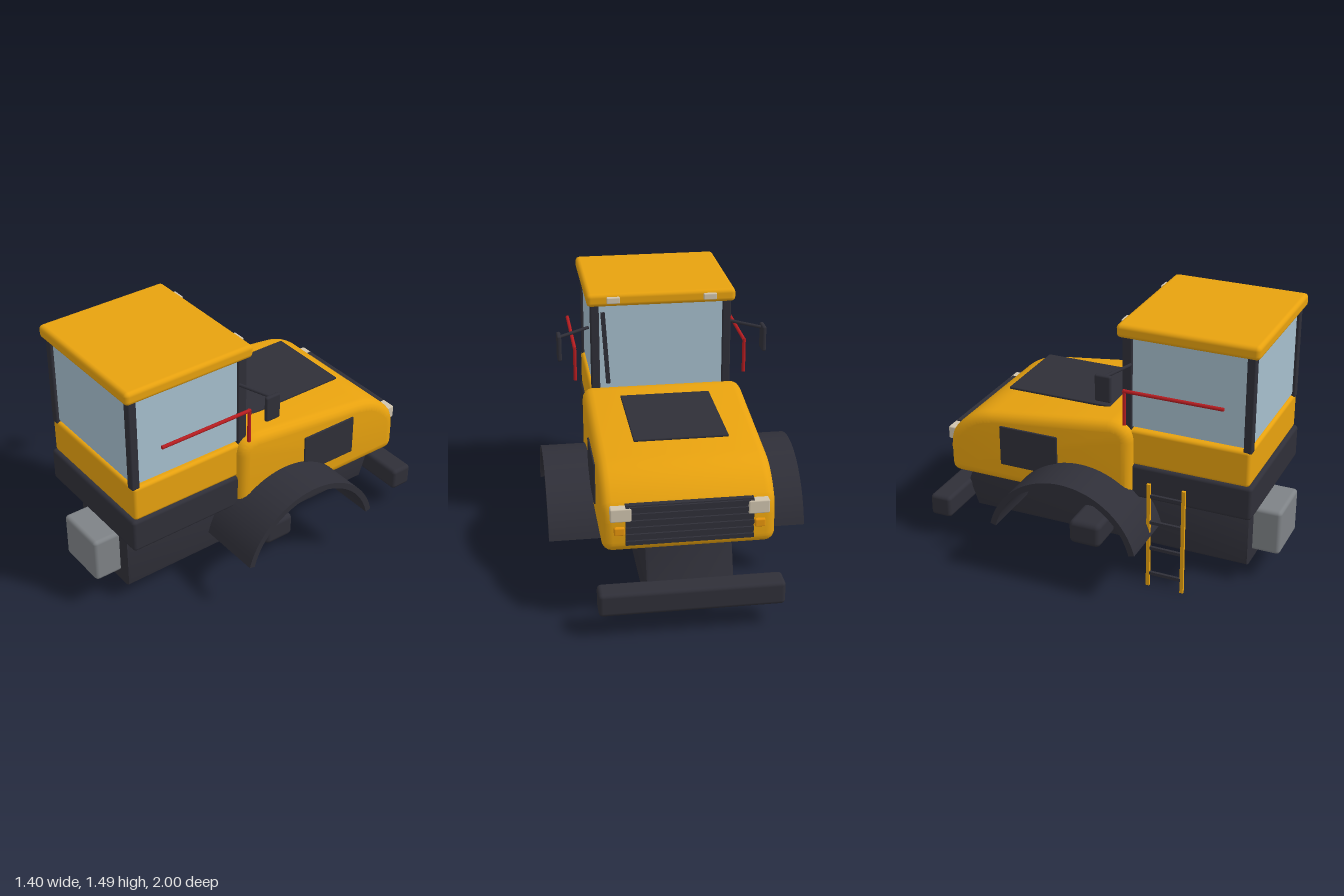
import * as THREE from 'three';
import { toCreasedNormals } from 'three/addons/utils/BufferGeometryUtils.js';
import { RoundedBoxGeometry } from 'three/addons/geometries/RoundedBoxGeometry.js';

const material = (name, color) => {
  const m = new THREE.MeshStandardMaterial({ color });
  m.name = name;
  return m;
};

export function createModel() {
  const yellow = material('yellow paint', 0xeca50f);
  const dark = material('dark metal', 0x2f2f38);
  const glass = material('window glass', 0xa6bfcd);
  const grey = material('grey metal', 0x7e8286);
  const red = material('red rail', 0xb51c20);
  const cream = material('lamp lens', 0xd0c4ae);
  const amber = material('amber lamp', 0xe8960c);

  const model = new THREE.Group();
  model.name = 'roadMachine';

  const add = (name, geometry, mat) => {
    const mesh = new THREE.Mesh(geometry, mat);
    mesh.name = name;
    model.add(mesh);
    return mesh;
  };
  // Box given by its limits on each axis, with an optional edge radius
  const box = (name, mat, [x0, x1], [y0, y1], [z0, z1], r = 0, segments = 2) => {
    const size = [x1 - x0, y1 - y0, z1 - z0];
    const g = r ? new RoundedBoxGeometry(...size, segments, r) : new THREE.BoxGeometry(...size);
    g.translate((x0 + x1) / 2, (y0 + y1) / 2, (z0 + z1) / 2);
    return add(name, g, mat);
  };
  // Side profile in (z, y), extruded across x about a centre
  const sideExtrude = (name, mat, shape, width, bevel, centreX = 0, bevelSegments = 4) => {
    const g = new THREE.ExtrudeGeometry(shape, {
      depth: width - 2 * bevel, curveSegments: 24, bevelEnabled: bevel > 0,
      bevelThickness: bevel, bevelSize: bevel, bevelOffset: -bevel, bevelSegments,
    });
    g.translate(0, 0, -(width - 2 * bevel) / 2);
    g.rotateY(-Math.PI / 2);
    g.translate(centreX, 0, 0);
    return add(name, toCreasedNormals(g, 0.6), mat);
  };
  // Round bar between two points
  const bar = (name, mat, a, b, r) => {
    const p = new THREE.Vector3(...a), q = new THREE.Vector3(...b);
    const mesh = add(name, new THREE.CylinderGeometry(r, r, p.distanceTo(q), 10), mat);
    mesh.position.copy(p).add(q).multiplyScalar(0.5);
    mesh.quaternion.setFromUnitVectors(new THREE.Vector3(0, 1, 0), q.sub(p).normalize());
    return mesh;
  };

  // Chassis with sloping rear end
  const chassis = new THREE.Shape();
  chassis.moveTo(0.845, 0.105);
  [[0.845, 0.43], [-0.83, 0.43], [-0.89, 0.26], [-0.835, 0.105]].forEach(p => chassis.lineTo(...p));
  chassis.closePath();
  sideExtrude('chassis', dark, chassis, 0.46, 0.018, 0, 2);
  box('axleHousing', dark, [-0.43, 0.43], [0.12, 0.265], [-0.145, 0.045], 0.03);
  box('rearBumper', dark, [-0.485, 0.485], [0.135, 0.265], [-1, -0.87], 0.022);
  box('frontWeight', grey, [-0.155, 0.155], [0.165, 0.43], [0.8, 1], 0.022);

  // Engine hood
  const hood = new THREE.Shape();
  hood.moveTo(0.24, 0.432);
  hood.lineTo(0.24, 0.82);
  hood.bezierCurveTo(0.24, 0.91, 0.18, 0.935, 0.1, 0.932);
  hood.lineTo(-0.6, 0.845);
  hood.bezierCurveTo(-0.72, 0.83, -0.79, 0.77, -0.845, 0.7);
  hood.quadraticCurveTo(-0.867, 0.665, -0.872, 0.6);
  hood.lineTo(-0.872, 0.49);
  hood.quadraticCurveTo(-0.87, 0.432, -0.81, 0.432);
  hood.closePath();
  sideExtrude('hood', yellow, hood, 0.9, 0.055);
  box('hoodTopPanel', dark, [-0.25, 0.25], [0.914, 0.928], [-0.58, 0.035], 0.005, 1);

  // Rear grille
  box('grilleBack', dark, [-0.33, 0.33], [0.475, 0.7], [-0.877, -0.84]);
  for (let i = 0; i < 6; i++) {
    const y = 0.493 + i * 0.038;
    box('grilleSlat', dark, [-0.33, 0.33], [y - 0.011, y + 0.011], [-0.888, -0.86]);
  }

  // Cab
  box('cabPlatform', dark, [-0.41, 0.41], [0.495, 0.69], [0.2, 0.907], 0.02);
  box('cabBase', yellow, [-0.4, 0.4], [0.685, 0.893], [0.2, 0.888], 0.02);
  box('windowSill', dark, [-0.35, 0.35], [0.88, 0.91], [0.23, 0.83]);
  box('windows', glass, [-0.382, 0.382], [0.905, 1.415], [0.185, 0.876]);
  box('roof', yellow, [-0.417, 0.417], [1.41, 1.485], [0.142, 0.918], 0.024);
  const wiper = box('rearWiper', dark, [-0.012, 0.012], [-0.21, 0.21], [-0.008, 0.008]);
  wiper.position.set(0.315, 1.16, 0.174);
  wiper.rotation.z = -0.06;

  // Wheel arch section: a thick arc in (z, y)
  const archZ = -0.055, archY = 0.207, outer = 0.442, inner = 0.408, start = 0.25;
  const arch = new THREE.Shape();
  arch.absarc(archZ, archY, outer, start, Math.PI - start, false);
  arch.absarc(archZ, archY, inner, Math.PI - start, start, true);
  arch.closePath();

  for (const s of [-1, 1]) {
    const span = (a, b) => (s > 0 ? [a, b] : [-b, -a]);
    sideExtrude('fender', dark, arch, 0.375, 0, s * 0.5125);
    box('hoodSidePanel', dark, span(0.43, 0.459), [0.55, 0.785], [-0.54, -0.19], 0.005, 1);
    box('frontPillar', dark, span(0.348, 0.396), [0.88, 1.415], [0.846, 0.893], 0.008, 1);
    box('rearPillar', dark, span(0.348, 0.396), [0.88, 1.415], [0.17, 0.225], 0.008, 1);

    // Lamps
    box('headlamp', cream, span(0.3, 0.41), [0.617, 0.692], [-0.894, -0.8], 0.008, 1);
    box('indicator', amber, span(0.335, 0.39), [0.538, 0.583], [-0.89, -0.83], 0.008, 1);
    box('roofLamp', cream, span(0.233, 0.308), [1.432, 1.468], [0.125, 0.16], 0.006, 1);

    // Handrail
    bar('handrail', red, [s * 0.485, 1.153, 0.765], [s * 0.485, 1.153, 0.215], 0.01);
    bar('handrail', red, [s * 0.485, 1.16, 0.222], [s * 0.485, 0.96, 0.222], 0.01);

    // Mirror
    bar('mirrorArm', dark, [s * 0.405, 1.27, 0.225], [s * 0.577, 1.25, 0.14], 0.009);
    box('mirror', dark, span(0.564, 0.588), [1.12, 1.268], [0.1, 0.19], 0.01);
  }

  // Access ladder
  for (const z of [0.358, 0.556]) {
    box('ladderRail', yellow, [-0.478, -0.462], [0, 0.63], [z - 0.01, z + 0.01]);
  }
  for (const y of [0.08, 0.24, 0.4, 0.56]) {
    box('ladderRung', dark, [-0.478, -0.462], [y - 0.009, y + 0.009], [0.366, 0.548]);
  }

  return model;
}
